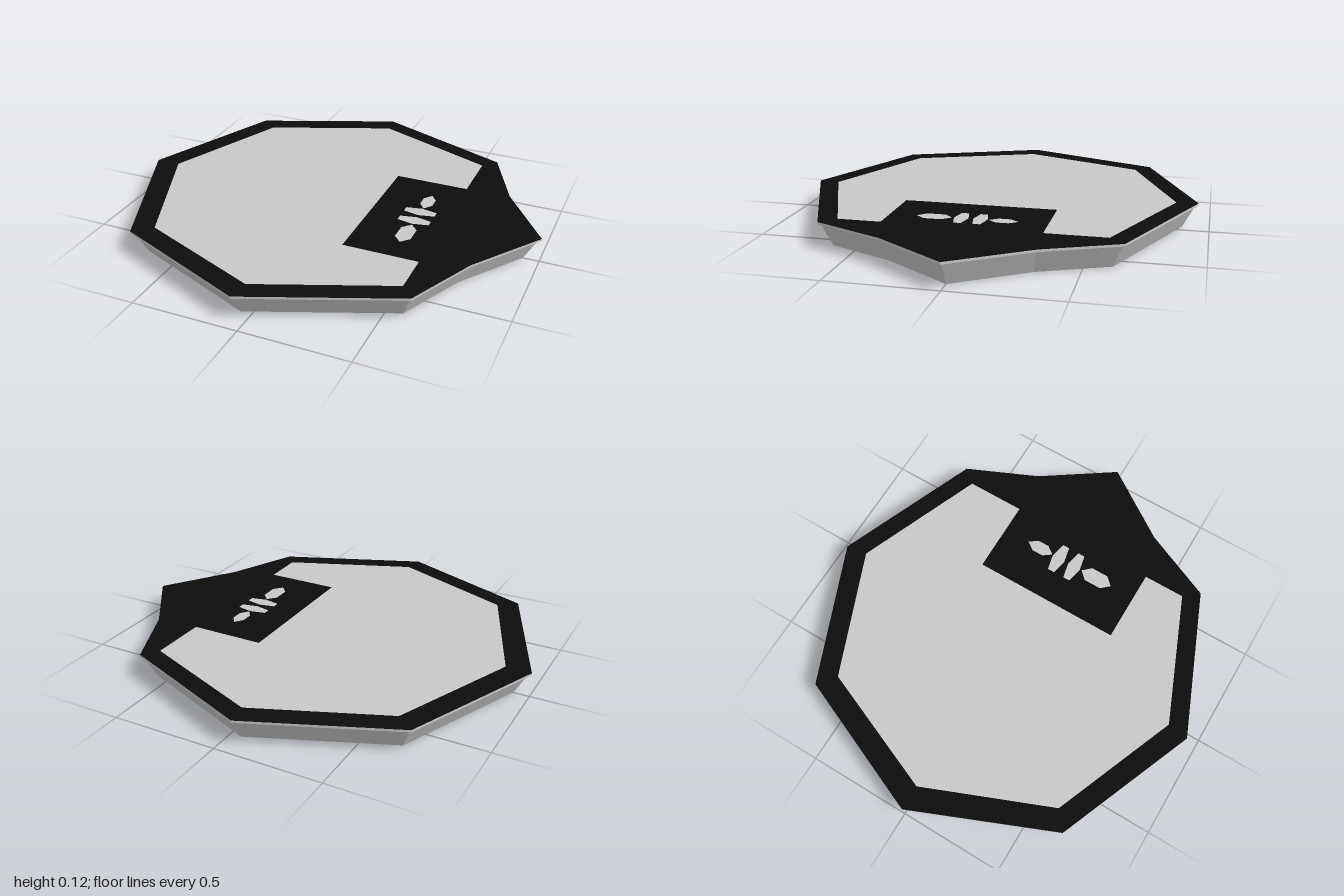
import * as THREE from 'three';

// Front half of the outline as [x, z]; mirrored in z for the back half
const half = [[0.77, 0.335], [0.62, 0.67], [-0.055, 0.945], [-0.72, 0.67]];
const outline = [[1, 0], ...half, [-1, 0], ...half.map(([x, z]) => [x, -z]).reverse()];

// Flat polygon at height y, facing up or down
function face(points, y, down = false) {
  const shape = new THREE.Shape(points.map(([x, z]) => new THREE.Vector2(x, down ? z : -z)));
  const geo = new THREE.ShapeGeometry(shape);
  geo.rotateX(down ? Math.PI / 2 : -Math.PI / 2);
  return geo.translate(0, y, 0);
}

// Flat-sided band through scaled copies of the outline, given as [scale, y]
function band(rings) {
  const pos = [];
  const n = outline.length;
  const at = ([s, y], i) => [outline[i % n][0] * s, y, outline[i % n][1] * s];
  for (let r = 0; r < rings.length - 1; r++) {
    for (let i = 0; i < n; i++) {
      const a = at(rings[r], i), b = at(rings[r], i + 1);
      const c = at(rings[r + 1], i + 1), d = at(rings[r + 1], i);
      pos.push(...a, ...d, ...c, ...a, ...c, ...b);
    }
  }
  const geo = new THREE.BufferGeometry();
  geo.setAttribute('position', new THREE.Float32BufferAttribute(pos, 3));
  geo.computeVertexNormals();
  return geo;
}

// Elongated hexagon: points at both ends of z, or a peak in the middle of x
const hexTall = (x, z, w, h, tip) => [
  [x, z - h], [x + w, z - h + tip], [x + w, z + h - tip],
  [x, z + h], [x - w, z + h - tip], [x - w, z - h + tip],
];

export function createModel() {
  const group = new THREE.Group();
  const grey = new THREE.MeshStandardMaterial({ color: 0xc8c8c8, flatShading: true });
  grey.name = 'light grey';
  const black = new THREE.MeshStandardMaterial({ color: 0x0d0d0d, flatShading: true });
  black.name = 'black';

  const add = (name, geo, mat) => {
    const mesh = new THREE.Mesh(geo, mat);
    mesh.name = name;
    group.add(mesh);
  };

  // Tapered body with a small overhanging lip
  add('bodySides', band([[0.925, 0], [0.985, 0.107], [1, 0.107], [1, 0.118]]), grey);
  add('bodyBottom', face(outline, 0, true).scale(0.925, 1, 0.925), grey);

  // Black top surface
  add('topSurface', face(outline, 0.118), black);

  // Pale inlay with a notch on the +x side
  add('topPanel', face([
    [0.56, -0.6], [-0.04, -0.843], [-0.635, -0.6], [-0.88, 0], [-0.635, 0.6], [-0.04, 0.843],
    [0.56, 0.6], [0.56, 0.4], [0.205, 0.4], [0.205, -0.32], [0.56, -0.32],
  ], 0.12), grey);

  // Small marks in the notch: [x, z, half width, half length, tip]
  [
    [0.428, -0.12, 0.03, 0.068, 0.04],
    [0.425, -0.015, 0.075, 0.033, 0.016],
    [0.425, 0.072, 0.075, 0.033, 0.016],
    [0.428, 0.195, 0.037, 0.082, 0.04],
  ].forEach((m, i) => add('mark' + (i + 1), face(hexTall(...m), 0.12), grey));

  return group;
}
